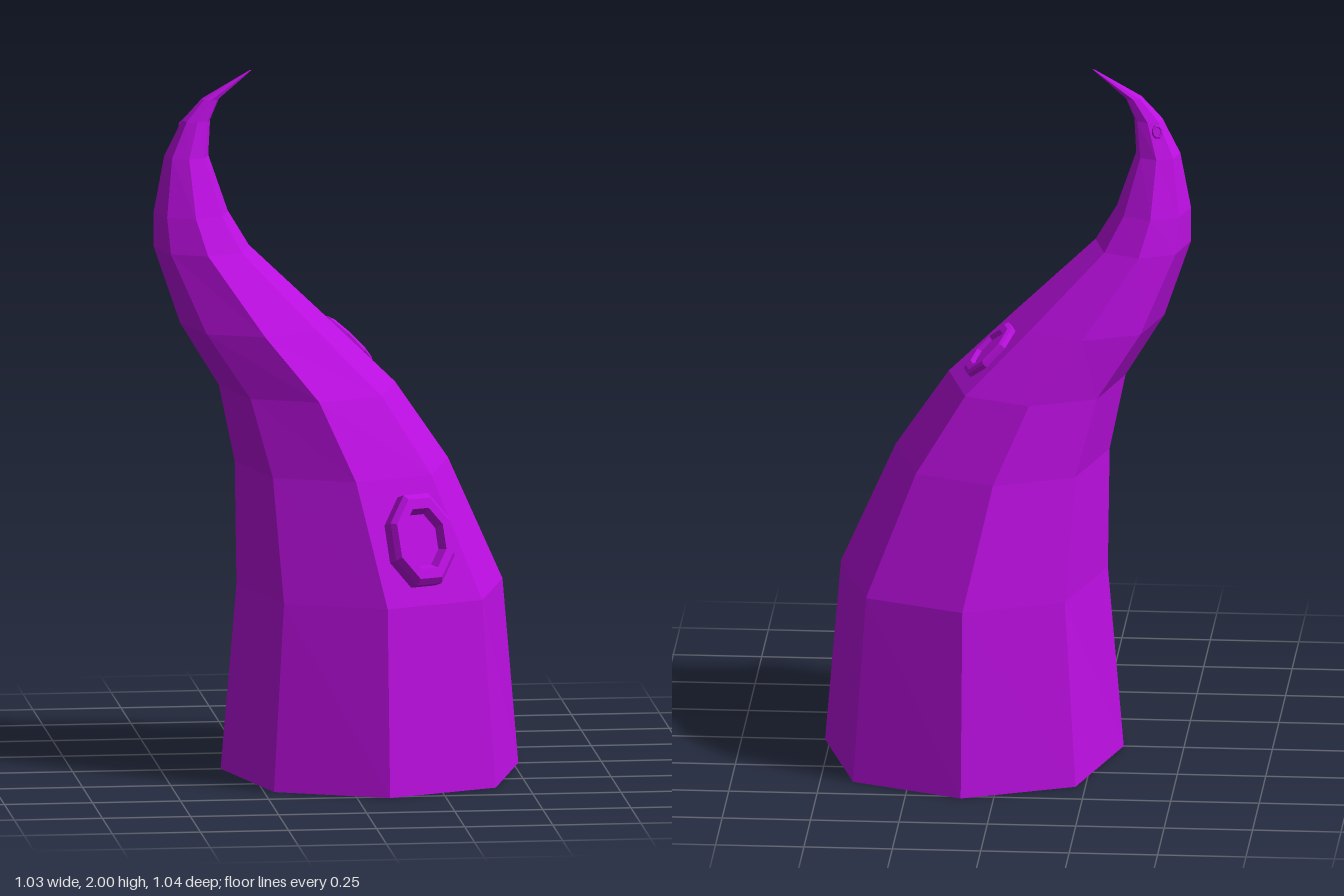
import * as THREE from 'three';

const SIDES = 8;

// Horizontal rings from base to tip: [y, left x, right x, half depth]
const RINGS = [
  [0, -0.33, 0.515, 0.52], [0.53, -0.285, 0.47, 0.46], [0.88, -0.29, 0.315, 0.372],
  [1.1, -0.335, 0.165, 0.315], [1.28, -0.445, -0.02, 0.26], [1.5, -0.52, -0.25, 0.175],
  [1.6, -0.52, -0.31, 0.137], [1.76, -0.49, -0.365, 0.075], [1.86, -0.44, -0.36, 0.042],
  [1.92, -0.385, -0.335, 0.025], [2, -0.248, -0.242, 0.003],
];

// Tapering, curling eight-sided body with closed ends
function bodyGeometry() {
  const pos = [], index = [];
  for (const [y, x0, x1, rz] of RINGS) {
    for (let k = 0; k < SIDES; k++) {
      const a = (k / SIDES) * Math.PI * 2;
      const bulge = k % 2 ? 0.745 / Math.SQRT1_2 : 1;
      pos.push((x0 + x1) / 2 + ((x1 - x0) / 2) * Math.cos(a) * bulge, y, rz * Math.sin(a) * bulge);
    }
  }
  for (let i = 0; i < RINGS.length - 1; i++) {
    for (let k = 0; k < SIDES; k++) {
      const a = i * SIDES + k, b = i * SIDES + ((k + 1) % SIDES);
      index.push(a, a + SIDES, b + SIDES, a, b + SIDES, b);
    }
  }
  const top = (RINGS.length - 1) * SIDES;
  for (let k = 1; k < SIDES - 1; k++) {
    index.push(0, k, k + 1, top, top + k + 1, top + k);
  }
  const g = new THREE.BufferGeometry();
  g.setAttribute('position', new THREE.Float32BufferAttribute(pos, 3));
  g.setIndex(index);
  g.computeVertexNormals();
  return g;
}

// Raised octagonal cup with a recessed floor, facing +z
function suckerGeometry(rx, ry, height) {
  const profile = [[1, -0.8], [1, 0.7], [0.88, 1], [0.66, 1], [0.56, 0.45], [0, 0.45]]
    .map(([r, h]) => new THREE.Vector2(r, h));
  const g = new THREE.LatheGeometry(profile, SIDES, Math.PI / 8);
  g.rotateX(Math.PI / 2);
  g.scale(rx, ry, height);
  return g;
}

export function createModel() {
  const group = new THREE.Group();
  group.name = 'tentacle';
  const material = new THREE.MeshStandardMaterial({ color: 0xbb0fe0, flatShading: true });

  const body = new THREE.Mesh(bodyGeometry(), material);
  body.name = 'body';
  group.add(body);

  // Suckers lie on the body's facets: position, facet's across and up directions, size
  const suckers = [
    { name: 'lowerSucker', at: [0.185, 0.705, 0.36], across: [0.277, 0, -0.115], up: [-0.083, 0.35, -0.09], size: [0.102, 0.14, 0.055] },
    { name: 'upperSucker', at: [0.035, 1.195, -0.113], across: [-0.06, 0, -0.215], up: [-0.185, 0.18, 0], size: [0.068, 0.098, 0.022] },
    { name: 'tipSucker', at: [-0.428, 1.835, -0.046], across: [-0.05, 0, 0.012], up: [0.027, 0.1, 0.033], size: [0.016, 0.02, 0.01] },
  ];
  for (const { name, at, across, up, size } of suckers) {
    const x = new THREE.Vector3(...across).normalize();
    const z = x.clone().cross(new THREE.Vector3(...up)).normalize();
    const y = z.clone().cross(x);
    const mesh = new THREE.Mesh(suckerGeometry(...size), material);
    mesh.name = name;
    mesh.quaternion.setFromRotationMatrix(new THREE.Matrix4().makeBasis(x, y, z));
    mesh.position.set(...at);
    group.add(mesh);
  }
  return group;
}
